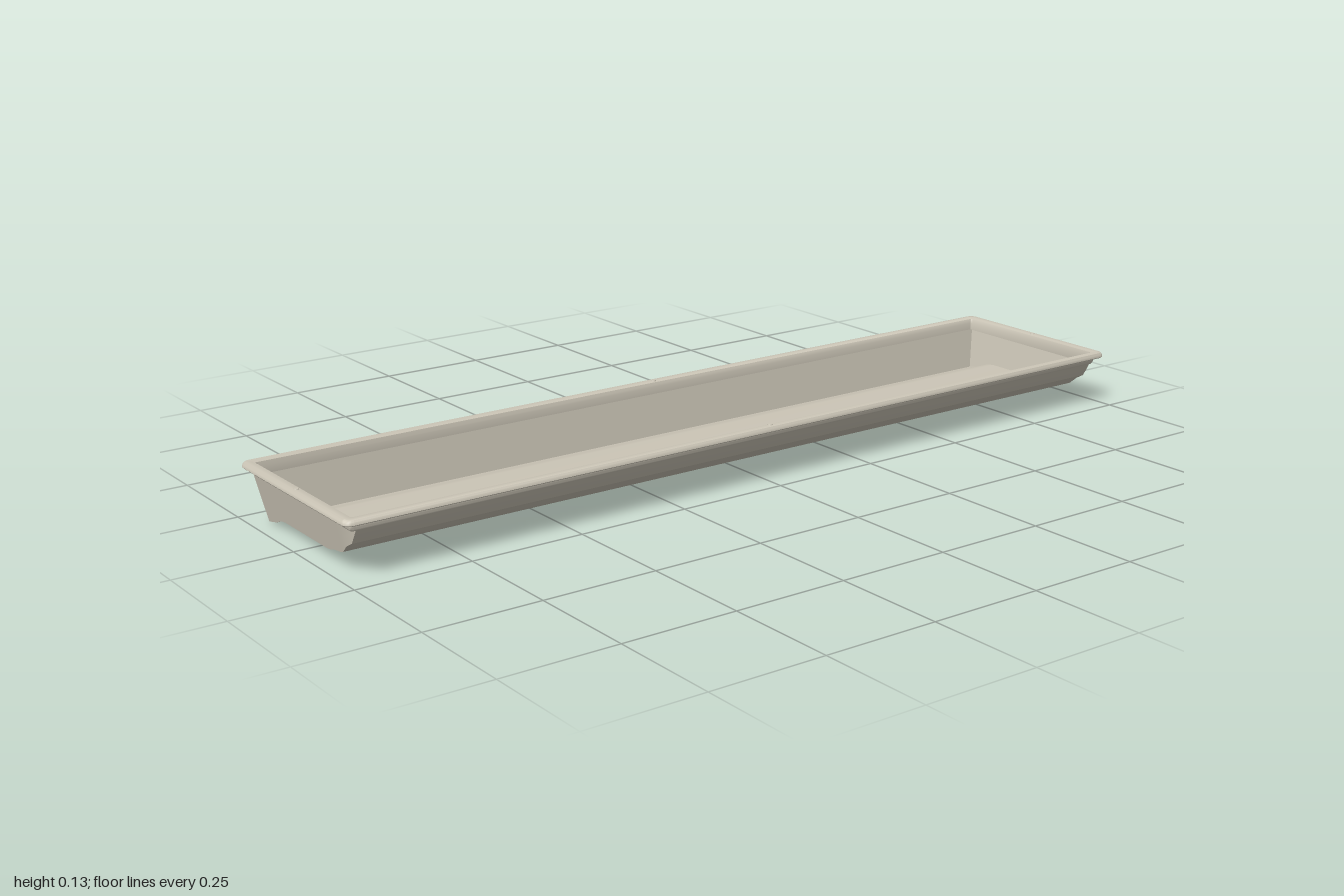
import * as THREE from 'three';
import { toCreasedNormals } from 'three/addons/utils/BufferGeometryUtils.js';

const stone = new THREE.MeshStandardMaterial({ color: 0xcdc7b8, side: THREE.DoubleSide });
stone.name = 'warm grey plastic';

// Skin a surface through rows of points of equal length
function skin(rows, crease = 0.5) {
  const n = rows[0].length, index = [];
  for (let r = 0; r < rows.length - 1; r++) {
    for (let i = 0; i < n - 1; i++) {
      const a = r * n + i, b = a + n;
      index.push(a, a + 1, b, a + 1, b + 1, b);
    }
  }
  const geo = new THREE.BufferGeometry();
  geo.setAttribute('position', new THREE.Float32BufferAttribute(rows.flat(2), 3));
  geo.setIndex(index);
  return toCreasedNormals(geo, crease);
}

// Closed rounded rectangle at height y
function ring(hx, hz, radius, y) {
  const pts = [];
  [[1, 1], [-1, 1], [-1, -1], [1, -1]].forEach(([sx, sz], q) => {
    for (let k = 0; k <= 5; k++) {
      const a = (q + k / 5) * Math.PI / 2;
      pts.push([sx * (hx - radius) + radius * Math.cos(a), y, sz * (hz - radius) + radius * Math.sin(a)]);
    }
  });
  pts.push([...pts[0]]);
  return pts;
}

// Basin cross-section from the front lip, under the floor, to the back lip: [z, y]
const outerProfile = [
  [0.207, 0.1], [0.198, 0.083], [0.188, 0.067], [0.168, 0.056], [0.148, 0.039], [0.135, 0.035],
  [0.107, 0.031], [0.09, 0.026], [0.075, 0.024], [-0.105, 0.024], [-0.125, 0.021],
  [-0.15, 0.011], [-0.17, 0.006], [-0.189, 0.002], [-0.205, 0.1],
];
const innerProfile = outerProfile.map(([z, y], i) => {
  const last = outerProfile.length - 1;
  if (i === 0) return [z - 0.006, y];
  if (i >= last - 1) return [z + 0.006, i === last ? y : y + 0.006];
  return [z - (z > 0.1 ? 0.003 : 0), y + 0.005];
});

// Sloping end walls, drawn in slightly at the front corners
const halfLength = (z, y, inset) =>
  0.96 + 0.2 * y - inset - 5 * Math.max(0, z - 0.16) ** 2;

export function createModel() {
  const model = new THREE.Group();
  model.name = 'tray';
  const add = (name, geo) => {
    const mesh = new THREE.Mesh(geo, stone);
    mesh.name = name;
    model.add(mesh);
    return mesh;
  };

  // Outer and inner skins of the basin, each with two end walls
  for (const [label, profile, inset] of [['outer', outerProfile, 0], ['inner', innerProfile, 0.006]]) {
    const edge = s => profile.map(([z, y]) => [s * halfLength(z, y, inset), y, z]);
    add(label + 'Floor', skin([edge(1), edge(-1)]));
    for (const s of [1, -1]) {
      const top = profile.map(([z]) => [s * halfLength(z, 0.1, inset), 0.1, z]);
      add(label + (s > 0 ? 'LeftEnd' : 'RightEnd'), skin([edge(s), top], 0.8));
    }
  }

  // Collar and rolled rim: [distance in from the outer edge, y]
  const rim = [
    [0.027, 0.098], [0.022, 0.098], [0.019, 0.102], [0.018, 0.106], [0.018, 0.115], [0.002, 0.115],
    [0, 0.117], [0.001, 0.123], [0.004, 0.1265], [0.008, 0.127], [0.018, 0.127],
    [0.024, 0.125], [0.027, 0.115], [0.027, 0.098],
  ];
  add('rim', skin(rim.map(([d, y]) => ring(1 - d, 0.228 - d, Math.max(0.004, 0.018 - d * 0.6), y)), 0.7));

  // Small locating nubs at the middle of each rim side
  for (const [x, z] of [[0, 0.212], [0, -0.212], [0.986, 0], [-0.986, 0]]) {
    add('nub', new THREE.CylinderGeometry(0.005, 0.006, 0.003, 16)).position.set(x, 0.127, z);
  }

  // Rest the lowest edge on the ground
  for (const part of model.children) part.position.y -= 0.002;
  return model;
}
